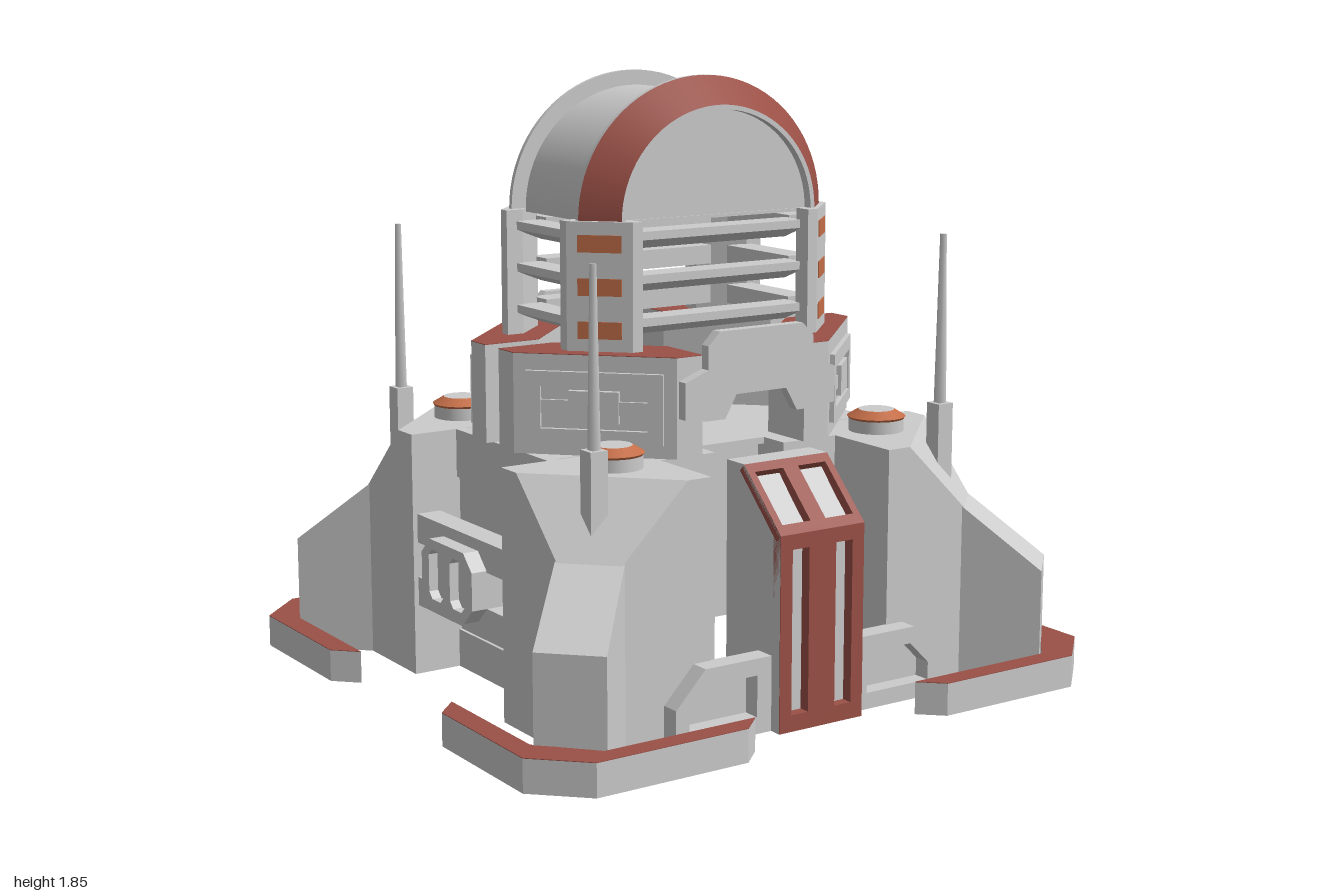
import * as THREE from 'three';
import { ConvexGeometry } from 'three/addons/geometries/ConvexGeometry.js';

const grey = new THREE.MeshStandardMaterial({ color: 0xcccccc, side: THREE.DoubleSide });
const red = new THREE.MeshStandardMaterial({ color: 0x9a5046, side: THREE.DoubleSide });
const orange = new THREE.MeshStandardMaterial({ color: 0xc46e48, side: THREE.DoubleSide });

export function createModel() {
  const model = new THREE.Group();

  function add(name, geometry, material = grey, parent = model) {
    const mesh = new THREE.Mesh(geometry, material);
    mesh.name = name;
    parent.add(mesh);
    return mesh;
  }
  // Box given by its lower and upper limits
  function box(name, x0, x1, y0, y1, z0, z1, material = grey, parent = model) {
    const g = new THREE.BoxGeometry(Math.abs(x1 - x0), y1 - y0, Math.abs(z1 - z0));
    g.translate((x0 + x1) / 2, (y0 + y1) / 2, (z0 + z1) / 2);
    return add(name, g, material, parent);
  }
  const toShape = (pts) => new THREE.Shape(pts.map(([x, y]) => new THREE.Vector2(x, y)));
  const rect = (x0, x1, y0, y1) => [[x0, y0], [x1, y0], [x1, y1], [x0, y1]];
  // Flat outline with holes, extruded along z
  function plate(outline, holes, depth) {
    const shape = toShape(outline);
    shape.holes = holes.map(toShape);
    return new THREE.ExtrudeGeometry(shape, { depth, bevelEnabled: false });
  }
  // Plan outline (x, z) raised from y0 to y1
  const prism = (plan, y0, y1) =>
    plate(plan.map(([x, z]) => [x, -z]), [], y1 - y0).rotateX(-Math.PI / 2).translate(0, y0, 0);
  // Drops the level faces lying at one height, leaving a hollow shell
  function open(geometry, level) {
    const p = geometry.attributes.position, kept = [];
    for (let i = 0; i < p.count; i += 3) {
      const tri = [i, i + 1, i + 2];
      if (tri.some(k => Math.abs(p.getY(k) - level) > 1e-5))
        for (const k of tri) kept.push(p.getX(k), p.getY(k), p.getZ(k));
    }
    const shell = new THREE.BufferGeometry();
    shell.setAttribute('position', new THREE.Float32BufferAttribute(kept, 3));
    shell.computeVertexNormals();
    return shell;
  }
  // Rectangle with cut corners
  const octagon = (x0, x1, y0, y1, c) => [[x0 + c, y0], [x1 - c, y0], [x1, y0 + c], [x1, y1 - c],
    [x1 - c, y1], [x0 + c, y1], [x0, y1 - c], [x0, y0 + c]];
  // Side outline (z, y) extruded along x
  const across = (pts, x0, x1) => plate(pts.map(([z, y]) => [-z, y]), [], x1 - x0)
    .rotateY(Math.PI / 2).translate(x0, 0, 0);

  // ---- Four corners ----
  for (const sx of [-1, 1]) for (const sz of [-1, 1]) {
    const flip = (plan) => plan.map(([x, z]) => [sx * x, sz * z]);
    const hull = (pts) => new ConvexGeometry(pts.map(([x, y, z]) => new THREE.Vector3(sx * x, y, sz * z)));
    const diagonal = (x, z) => {
      const g = new THREE.Group();
      g.position.set(sx * x, 0, sz * z);
      g.rotation.y = Math.atan2(sx, sz);
      model.add(g);
      return g;
    };

    // Hollow tower with a sloped outer corner, and the leg running out from it
    add('cornerTower', open(hull([
      [0.32, 0, 0.275], [0.75, 0, 0.275], [0.75, 0, 0.71], [0.32, 0, 0.71],
      [0.32, 0.76, 0.275], [0.75, 0.76, 0.275], [0.75, 0.76, 0.36], [0.4, 0.76, 0.71], [0.32, 0.76, 0.71],
      [0.75, 0.55, 0.57], [0.61, 0.55, 0.71], [0.75, 0.416, 0.71]]), 0));
    const leg = [];
    for (const [x, y, z] of [[0.75, 0.55, 0.57], [0.61, 0.55, 0.71], [0.925, 0.36, 0.74], [0.78, 0.36, 0.885]])
      leg.push([x, y, z], [x, 0, z]);
    add('cornerLeg', open(hull(leg), 0));

    // Hollow ground fender with coloured top
    const fender = flip([[1, 0.36], [1, 0.81], [0.855, 0.95], [0.36, 0.95], [0.29, 0.885],
      [0.79, 0.885], [0.93, 0.73], [0.93, 0.29]]);
    add('fender', open(open(prism(fender, 0, 0.098), 0), 0.098));
    add('fenderTop', prism(fender, 0.098, 0.1), red);

    // Round lamp on the tower top
    const lamp = new THREE.Group();
    lamp.name = 'lamp';
    lamp.position.set(sx * 0.48, 0.76, sz * 0.45);
    model.add(lamp);
    add('lampBase', new THREE.CylinderGeometry(0.085, 0.085, 0.04, 32).translate(0, 0.02, 0), grey, lamp);
    const ring = [[0.085, 0.038], [0.09, 0.045], [0.055, 0.066]];
    for (let i = 0; i < ring.length - 1; i++)
      add('lampRing', new THREE.LatheGeometry([ring[i], ring[i + 1]].map(p => new THREE.Vector2(...p)), 32), orange, lamp);
    add('lampLens', new THREE.CylinderGeometry(0.055, 0.055, 0.03, 32).translate(0, 0.051, 0), grey, lamp);

    // Antenna
    box('antennaBase', sx * 0.598, sx * 0.654, 0.5, 0.85, sz * 0.55, sz * 0.606);
    const mast = new THREE.CylinderGeometry(0.01, 0.019, 0.52, 4).rotateY(Math.PI / 4);
    add('antennaMast', mast.translate(sx * 0.626, 1.11, sz * 0.578));

    // Upper block with coloured top, and the wall below it
    const block = flip([[0.62, 0.04], [0.62, 0.125], [0.275, 0.47], [0.185, 0.47], [0.185, 0.29], [0.435, 0.04]]);
    add('upperBlock', prism(block, 0.76, 1.058));
    add('upperBlockTop', prism(block, 1.058, 1.06), red);
    add('innerWall', open(prism(flip(rect(0.125, 0.32, 0.35, 0.45)), 0, 0.76), 0));

    // Panel on the diagonal block face
    const panel = diagonal(0.4475, 0.2975);
    panel.name = 'blockPanel';
    add('panelFrame', plate(rect(-0.205, 0.205, 0.8, 1.01), [rect(-0.16, 0.16, 0.84, 0.965)], 0.015), grey, panel);
    box('panelBar', -0.16, 0.16, 0.885, 0.925, 0, 0.01, grey, panel);
    box('panelBox', -0.075, 0.075, 0.86, 0.955, 0, 0.02, grey, panel);

    // Column of three stacked blocks, each with a light
    const lights = diagonal(0.405, 0.26);
    lights.name = 'columnLights';
    for (let i = 0; i < 3; i++) {
      const y = 1.06 + i * 0.127;
      add('columnBlock', prism(flip([[0.475, 0.155], [0.475, 0.19], [0.335, 0.33], [0.3, 0.33],
        [0.3, 0.27], [0.42, 0.155]]), y, y + 0.127));
      box('columnLight', -0.066, 0.066, y + 0.037, y + 0.088, -0.01, 0.003, orange, lights);
    }
  }

  // ---- Slats between the columns, with sloping undersides ----
  for (let i = 0; i < 3; i++) {
    const y = 1.09 + i * 0.128;
    for (let turn = 0; turn < 4; turn++) {
      const side = turn % 2, out = side ? 0.44 : 0.29, half = side ? 0.165 : 0.31;
      const section = [[out, y + 0.06], [out, y + 0.035], [out - 0.09, y], [out - 0.09, y + 0.06]];
      add('slat', across(section, -half, half)).rotation.y = turn * Math.PI / 2;
    }
  }

  // ---- Half drum on top ----
  const drum = new THREE.Group();
  drum.name = 'drum';
  drum.position.y = 1.44;
  drum.scale.y = 0.41 / 0.44;
  model.add(drum);
  const half = [[0, 0.265, grey], [0.335, 0.265, grey], [0.335, 0.295, grey], [0.35, 0.295, red],
    [0.44, 0.2, grey], [0.44, 0.185, grey], [0.39, 0.185, grey]];
  const arc = (name, a, b, material) => add(name, new THREE.LatheGeometry(
    [new THREE.Vector2(...a), new THREE.Vector2(...b)], 40, -Math.PI / 2, Math.PI).rotateX(-Math.PI / 2), material, drum);
  for (let i = 0; i < half.length - 1; i++) {
    const [r0, z0, material] = half[i], [r1, z1] = half[i + 1];
    arc('drumEnd', [r1, z1], [r0, z0], material);
    arc('drumEnd', [r0, -z0], [r1, -z1], material);
  }
  arc('drumBarrel', [0.39, -0.185], [0.39, 0.185], grey);
  box('drumFloor', -0.39, 0.39, 1.43, 1.44, -0.27, 0.27);

  // ---- Deck carrying the upper blocks ----
  box('deck', -0.585, 0.585, 0.74, 0.76, -0.27, 0.27);
  for (const s of [-1, 1]) box('deckEdge', -0.32, 0.32, 0.74, 0.76, s * 0.27, s * 0.35);

  // ---- Front and back ----
  for (const side of [0, 1]) {
    const face = new THREE.Group();
    face.name = side ? 'backFace' : 'frontFace';
    face.rotation.y = side * Math.PI;
    model.add(face);

    // Pylon: recessed body, two cheeks and a red frame with slots and windows
    add('pylonBody', across([[0.545, 0], [0.545, 0.76], [0.6, 0.757], [0.775, 0.57], [0.775, 0]], -0.147, 0.147), grey, face);
    const cheek = [[0.545, 0], [0.545, 0.76], [0.63, 0.76], [0.808, 0.585], [0.808, 0]];
    for (const x of [-0.15, 0.146]) add('pylonCheek', across(cheek, x, x + 0.004), grey, face);
    box('pylonCap', -0.15, 0.15, 0.74, 0.76, 0.545, 0.63, grey, face);
    const slots = [-1, 1].map(s => rect(s * 0.078 - 0.03, s * 0.078 + 0.03, 0.05, 0.54));
    add('pylonFrame', plate(rect(-0.15, 0.15, 0, 0.585), slots, 0.035).translate(0, 0, 0.775), red, face);
    const slope = Math.hypot(0.18, 0.175);
    const windows = [-1, 1].map(s => rect(s * 0.077 - 0.05, s * 0.077 + 0.05, 0.035, slope - 0.03));
    const hood = add('pylonHood', plate(rect(-0.15, 0.15, 0, slope), windows, 0.03).translate(0, 0, -0.03), red, face);
    hood.position.set(0, 0.585, 0.81);
    hood.rotation.x = -Math.atan2(0.18, 0.175);

    // Low pods either side of the pylon
    for (const s of [-1, 1]) {
      const pod = [[0.15, 0], [0.48, 0], [0.48, 0.12], [0.38, 0.225], [0.15, 0.225]].map(([x, y]) => [s * x, y]);
      const hole = [[0.2, 0.05], [0.435, 0.05], [0.435, 0.105], [0.365, 0.175], [0.2, 0.175]].map(([x, y]) => [s * x, y]);
      add('pod', plate(pod, [hole], 0.065).translate(0, 0, 0.705), grey, face);
      add('podBack', plate(pod, [], 0.01).translate(0, 0, 0.705), grey, face);
    }

    // Arched bridge joining the upper blocks
    const rightHalf = [[0.27, 0.88], [0.27, 0.99], [0.19, 1.02], [0.19, 1.09], [0.15, 1.13]];
    const inner = [[0.09, 0.94], [0.13, 0.87], [0.19, 0.87]];
    const mirror = (pts) => pts.map(([x, y]) => [-x, y]).reverse();
    add('archBridge', plate([...rightHalf, ...mirror(rightHalf), ...mirror(inner), ...inner], [], 0.035)
      .translate(0, 0, 0.472), grey, face);
  }

  // ---- Left and right walls with rails and hatch ----
  for (const s of [-1, 1]) {
    const wall = new THREE.Group();
    wall.name = s > 0 ? 'leftWall' : 'rightWall';
    wall.rotation.y = s * Math.PI / 2;
    model.add(wall);
    box('wallPanel', -0.28, 0.28, 0, 0.76, 0.56, 0.585, grey, wall);
    for (const [y0, y1] of [[0, 0.12], [0.61, 0.76]]) box('wallBand', -0.28, 0.28, y0, y1, 0.58, 0.595, grey, wall);
    for (const [y0, y1] of [[0.42, 0.51], [0.22, 0.31]]) box('rail', -0.28, 0.28, y0, y1, 0.655, 0.735, grey, wall);
    const outline = octagon(-0.155, 0.155, 0.26, 0.475, 0.05);
    const panes = [octagon(-0.11, -0.02, 0.29, 0.445, 0.02), octagon(0.02, 0.11, 0.29, 0.445, 0.02)];
    add('hatch', plate(outline, panes, 0.05).translate(0, 0, 0.735), grey, wall);
    add('hatchBack', plate(outline, [], 0.08).translate(0, 0, 0.675), grey, wall);
  }
  return model;
}
